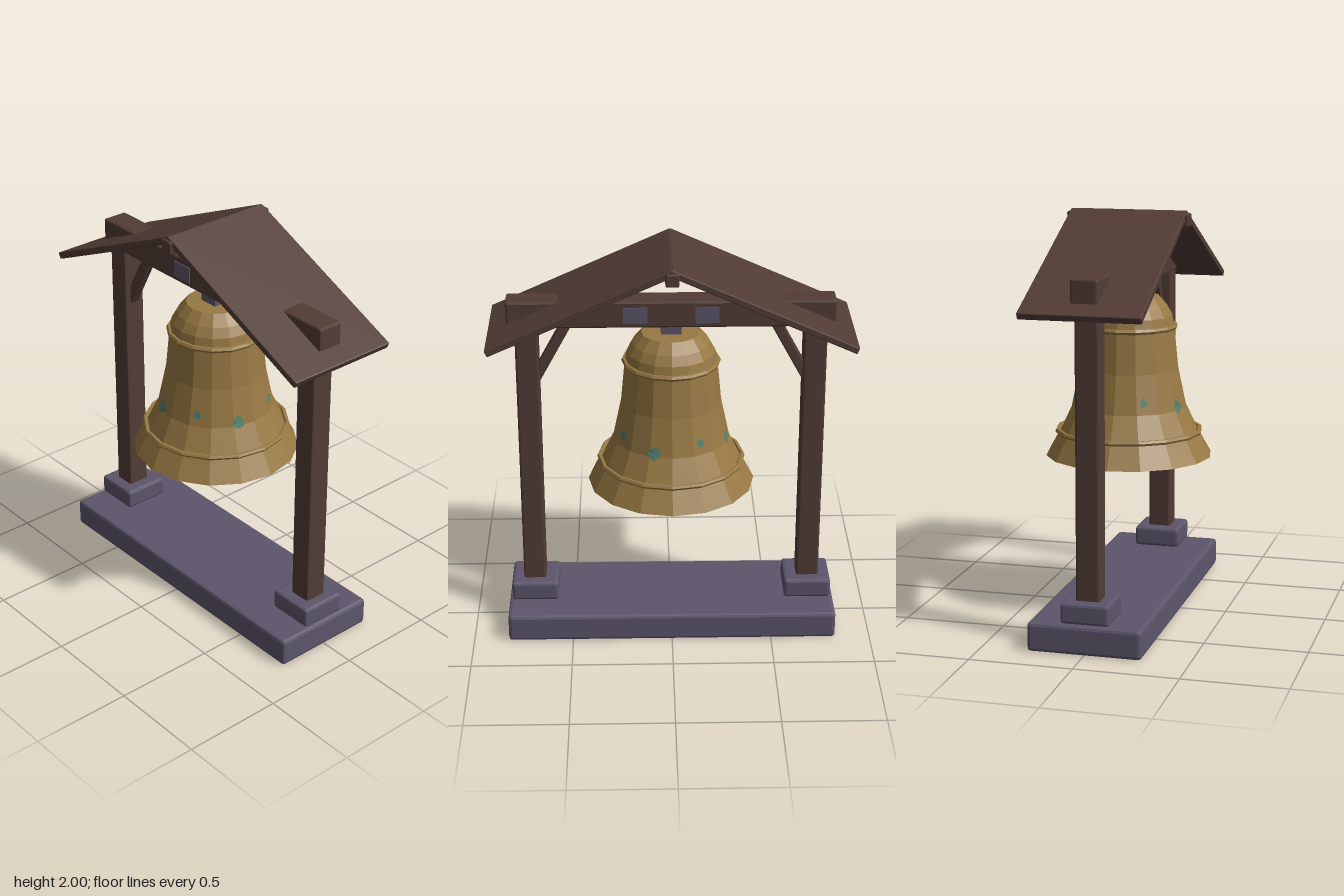
import * as THREE from 'three';
import { RoundedBoxGeometry } from 'three/addons/geometries/RoundedBoxGeometry.js';

const mat = (name, color) => {
  const m = new THREE.MeshStandardMaterial({ color });
  m.name = name;
  return m;
};

// Faceted normals for every part
const facet = (geo) => {
  const g = geo.index ? geo.toNonIndexed() : geo;
  g.computeVertexNormals();
  return g;
};

export function createModel() {
  const model = new THREE.Group();
  model.name = 'bellFrame';
  const wood = mat('dark wood', 0x523c35);
  const stone = mat('slate stone', 0x5d566c);
  const bronze = mat('aged bronze', 0x987943);
  const patina = mat('green patina', 0x4f8070);
  const iron = mat('dark iron', 0x45424f);

  const add = (name, geo, material, x = 0, y = 0, z = 0, parent = model) => {
    const mesh = new THREE.Mesh(facet(geo), material);
    mesh.name = name;
    mesh.position.set(x, y, z);
    parent.add(mesh);
    return mesh;
  };
  const block = (name, w, h, d, bevel, material, x, y, z) =>
    add(name, new RoundedBoxGeometry(w, h, d, 1, bevel), material, x, y, z);

  // Stone base, beam and ridge
  block('base', 1.65, 0.14, 0.55, 0.016, stone, 0, 0.07, 0);
  block('crossBeam', 1.58, 0.135, 0.13, 0.01, wood, 0, 1.687, 0);
  block('ridgePole', 0.065, 0.065, 0.61, 0.008, wood, 0, 1.95, 0);

  const slope = Math.atan2(0.395, 0.88);
  const roofLength = Math.hypot(0.395, 0.88);
  const thick = 0.034;
  for (const s of [-1, 1]) {
    const side = s > 0 ? 'left' : 'right';
    block(side + 'Footing', 0.235, 0.1, 0.235, 0.014, stone, s * 0.692, 0.193, 0);
    block(side + 'Post', 0.112, 1.4, 0.115, 0.01, wood, s * 0.695, 0.93, 0);

    // Diagonal brace between post and beam
    const brace = block(side + 'Brace', 0.05, 0.34, 0.05, 0.006, wood, s * 0.585, 1.475, 0);
    brace.rotation.z = s * 0.5;

    // Sloping roof slab
    const roof = block(side + 'Roof', roofLength, thick, 0.58, 0.005, wood,
      s * (0.44 - Math.sin(slope) * thick / 2), 1.8 - Math.cos(slope) * thick / 2, 0);
    roof.rotation.z = -s * slope;

    // Plates on both faces of the beam
    for (const f of [-1, 1])
      add(side + 'BeamPlate', new THREE.BoxGeometry(0.115, 0.08, 0.008), stone, s * 0.172, 1.685, f * 0.067);
  }

  // Bell body
  const bell = new THREE.Group();
  bell.name = 'bell';
  model.add(bell);
  const profile = [
    [0, 0.785], [0.412, 0.785], [0.345, 0.905], [0.285, 1.03], [0.245, 1.22],
    [0.225, 1.43], [0.215, 1.48], [0.19, 1.525], [0.145, 1.578], [0, 1.58],
  ];
  const SIDES = 16;
  add('bellBody', new THREE.LatheGeometry(profile.map((p) => new THREE.Vector2(...p)), SIDES), bronze, 0, 0, 0, bell);

  // Raised rings
  for (const [r, y, t] of [[0.354, 0.908, 0.013], [0.228, 1.427, 0.014]]) {
    const ring = new THREE.TorusGeometry(r, t, 6, SIDES);
    ring.rotateX(Math.PI / 2);
    add('bellRing', ring, bronze, 0, y, 0, bell);
  }

  // Hanger and clapper
  add('hanger', new THREE.BoxGeometry(0.1, 0.07, 0.1), stone, 0, 1.6, 0, bell);
  add('clapper', new THREE.SphereGeometry(0.042, 8, 6), iron, 0, 0.812, 0, bell);

  // Distance from the axis to the faceted bell wall
  const wall = (angle, y) => {
    const i = profile.findIndex((p, k) => k > 1 && p[1] >= y);
    const [r0, y0] = profile[i - 1], [r1, y1] = profile[i];
    const r = r0 + (r1 - r0) * (y - y0) / (y1 - y0);
    const step = 2 * Math.PI / SIDES;
    const local = angle - (Math.floor(angle / step) + 0.5) * step;
    return r * Math.cos(step / 2) / Math.cos(local);
  };

  // Patina patches following the wall, alternating large and small
  for (let k = 0; k < 8; k++) {
    const big = k % 2 === 0;
    const size = big ? 0.036 : 0.024, cy = big ? 1.05 : 1.088;
    const mid = THREE.MathUtils.degToRad(-18 + 45 * k + (big ? 0 : 3));
    const patch = new THREE.CircleGeometry(size, 9);
    const pos = patch.attributes.position;
    for (let i = 0; i < pos.count; i++) {
      const wobble = i === 0 ? 1 : 0.87 + 0.13 * Math.cos(3 * Math.atan2(pos.getY(i), pos.getX(i)) + k);
      const a = mid + pos.getX(i) * wobble / 0.28;
      const y = cy + pos.getY(i) * wobble;
      const r = wall(a, y) + 0.005;
      pos.setXYZ(i, Math.sin(a) * r, y, Math.cos(a) * r);
    }
    add('patinaPatch', patch, patina, 0, 0, 0, bell);
  }

  // Patina patches under the mouth
  for (const [x, z, r] of [[0.24, 0.07, 0.03], [-0.09, 0.11, 0.026], [-0.24, -0.21, 0.055]]) {
    const spot = new THREE.CircleGeometry(r, 8);
    spot.rotateX(Math.PI / 2);
    add('mouthPatina', spot, patina, x, 0.782, z, bell);
  }

  return model;
}
